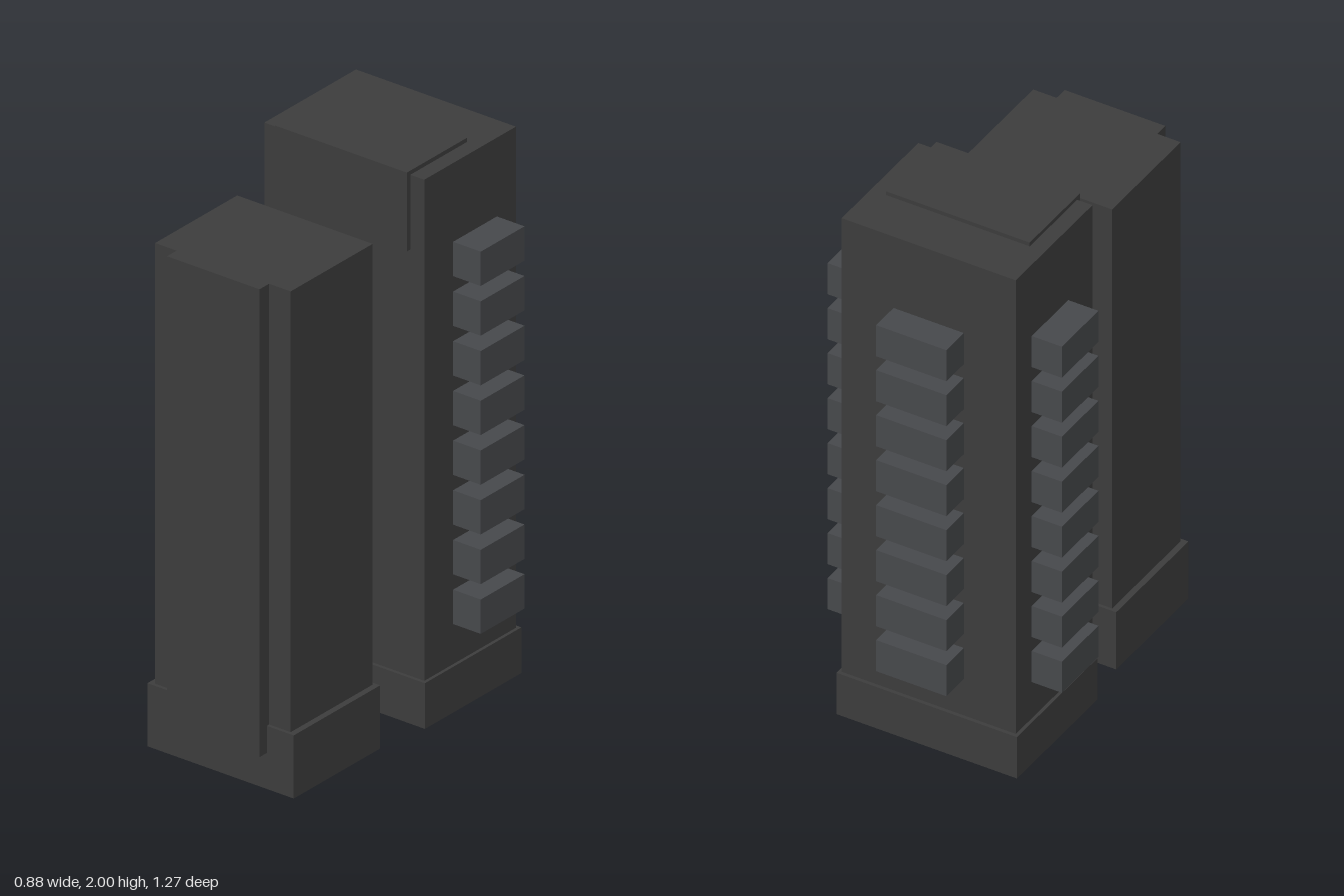
import * as THREE from 'three';

const wall = new THREE.MeshStandardMaterial({ color: 0x3c3c3c });
const balconyMat = new THREE.MeshStandardMaterial({ color: 0x46484b });

// Box given by its extents along each axis
function block(name, [x0, x1], [y0, y1], [z0, z1], material = wall) {
  const mesh = new THREE.Mesh(new THREE.BoxGeometry(x1 - x0, y1 - y0, z1 - z0), material);
  mesh.position.set((x0 + x1) / 2, (y0 + y1) / 2, (z0 + z1) / 2);
  mesh.name = name;
  return mesh;
}

export function createModel() {
  const model = new THREE.Group();
  model.name = 'twinTowers';

  // Shorter front tower: plinth, shaft and raised front panel
  const front = new THREE.Group();
  front.name = 'frontTower';
  front.add(
    block('frontPlinth', [-0.299, 0.299], [0, 0.228], [0.146, 0.596]),
    block('frontShaft', [-0.277, 0.277], [0.1, 1.82], [0.157, 0.584]),
    block('frontPanel', [-0.189, 0.189], [0.13, 1.82], [0.5, 0.634]),
  );

  // Taller rear tower: plinth, shaft and crown over the front edge
  const rear = new THREE.Group();
  rear.name = 'rearTower';
  rear.add(
    block('rearPlinth', [-0.339, 0.339], [0.01, 0.175], [-0.538, -0.036]),
    block('rearShaft', [-0.327, 0.327], [0.1, 1.985], [-0.525, -0.048]),
    block('rearCrown', [-0.27, 0.27], [1.715, 2], [-0.344, -0.03]),
  );

  // Eight floors of balconies on the left, right and back walls
  const balconies = new THREE.Group();
  balconies.name = 'balconies';
  for (let i = 0; i < 8; i++) {
    const y = [0.32 + i * 0.1795, 0.444 + i * 0.1795];
    balconies.add(
      block('leftBalcony', [0.3, 0.44], y, [-0.426, -0.198], balconyMat),
      block('rightBalcony', [-0.44, -0.3], y, [-0.426, -0.198], balconyMat),
      block('backBalcony', [-0.132, 0.132], y, [-0.634, -0.5], balconyMat),
    );
  }
  rear.add(balconies);

  model.add(front, rear);
  return model;
}
